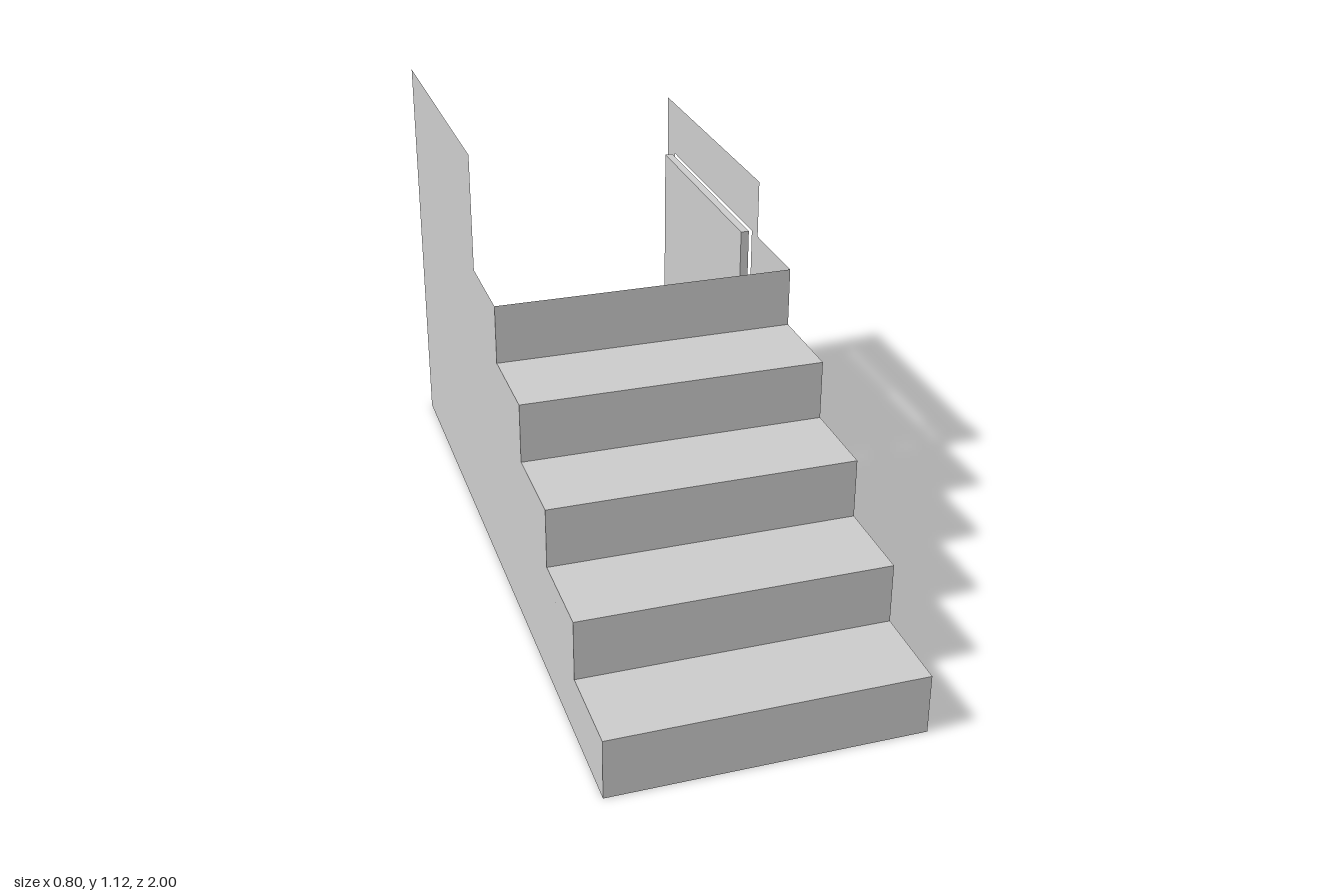
import * as THREE from 'three';

const material = new THREE.MeshStandardMaterial({ color: 0xcccccc, flatShading: true, side: THREE.DoubleSide });
const HALF_WIDTH = 0.4, RISE = 0.16, OPEN_FRONT = 0.245, OPEN_BACK = 0.927, OPEN_TOP = 0.8;
const NOSINGS = [1, 0.765, 0.525, 0.285, 0.043]; // z of each riser

function add(parent, name, geometry) {
  const mesh = new THREE.Mesh(geometry, material);
  mesh.name = name;
  parent.add(mesh);
  return mesh;
}

const polygon = (points) => new THREE.Shape(points.map(([u, v]) => new THREE.Vector2(u, v)));
const rectangle = (u0, u1, v0, v1) => polygon([[u0, v0], [u1, v0], [u1, v1], [u0, v1]]);

// Side profiles are drawn with u = -z and v = y, then turned to face +x
const turn = (geometry, x) => geometry.rotateY(Math.PI / 2).translate(x, 0, 0);
const slab = (shape, x0, x1) =>
  turn(new THREE.ExtrudeGeometry(shape, { depth: x1 - x0, bevelEnabled: false }), x0);

// Stepped wall outline; bottom holds the points along the floor from back to front
function wallShape(top, bottom) {
  const points = [];
  NOSINGS.forEach((z, i) => points.push([-z, i * RISE], [-z, (i + 1) * RISE]));
  points.push([0.2, 0.8], [0.2, top], [1, top], [1, 0], ...bottom);
  return polygon(points);
}

function createSteps() {
  const steps = new THREE.Group();
  steps.name = 'steps';
  NOSINGS.forEach((z, i) => {
    add(steps, 'riser', new THREE.PlaneGeometry(2 * HALF_WIDTH, RISE)).position.set(0, (i + 0.5) * RISE, z);
    if (i === NOSINGS.length - 1) return;
    const depth = z - NOSINGS[i + 1];
    add(steps, 'tread', new THREE.PlaneGeometry(2 * HALF_WIDTH, depth).rotateX(-Math.PI / 2))
      .position.set(0, (i + 1) * RISE, z - depth / 2);
  });
  return steps;
}

function createCupboard() {
  const cupboard = new THREE.Group();
  cupboard.name = 'cupboardDoors';
  add(cupboard, 'doorBack', slab(rectangle(OPEN_FRONT, OPEN_BACK, 0, OPEN_TOP), 0.368, 0.383));

  // Front frame with a sunk groove around each raised panel
  const frame = rectangle(OPEN_FRONT, OPEN_BACK, 0, OPEN_TOP);
  for (const [u0, u1] of [[0.28, 0.552], [0.62, 0.892]]) {
    frame.holes.push(rectangle(u0, u1, 0.043, 0.765));
    add(cupboard, 'doorPanel', slab(rectangle(u0 + 0.032, u1 - 0.032, 0.078, 0.728), 0.383, 0.39));
  }
  add(cupboard, 'doorFrame', slab(frame, 0.383, 0.391));

  // Pull handles: a bar on two posts
  for (const z of [-0.571, -0.604]) {
    const handle = new THREE.Group();
    handle.name = 'handle';
    handle.position.set(0.391, 0.463, z);
    add(handle, 'handleBar', new THREE.BoxGeometry(0.004, 0.074, 0.014)).position.x = 0.008;
    for (const y of [-0.031, 0.031])
      add(handle, 'handlePost', new THREE.BoxGeometry(0.007, 0.012, 0.014)).position.set(0.003, y, 0);
    cupboard.add(handle);
  }
  return cupboard;
}

export function createModel() {
  const model = new THREE.Group();
  model.name = 'staircase';
  model.add(createSteps());
  // Tall closed wall on one side, lower wall with a doorway on the other
  add(model, 'rightWall', turn(new THREE.ShapeGeometry(wallShape(1.12, [])), -HALF_WIDTH));
  const doorway = [[OPEN_BACK, 0], [OPEN_BACK, OPEN_TOP], [OPEN_FRONT, OPEN_TOP], [OPEN_FRONT, 0]];
  add(model, 'leftWall', turn(new THREE.ShapeGeometry(wallShape(0.96, doorway)), HALF_WIDTH));
  model.add(createCupboard());
  return model;
}
